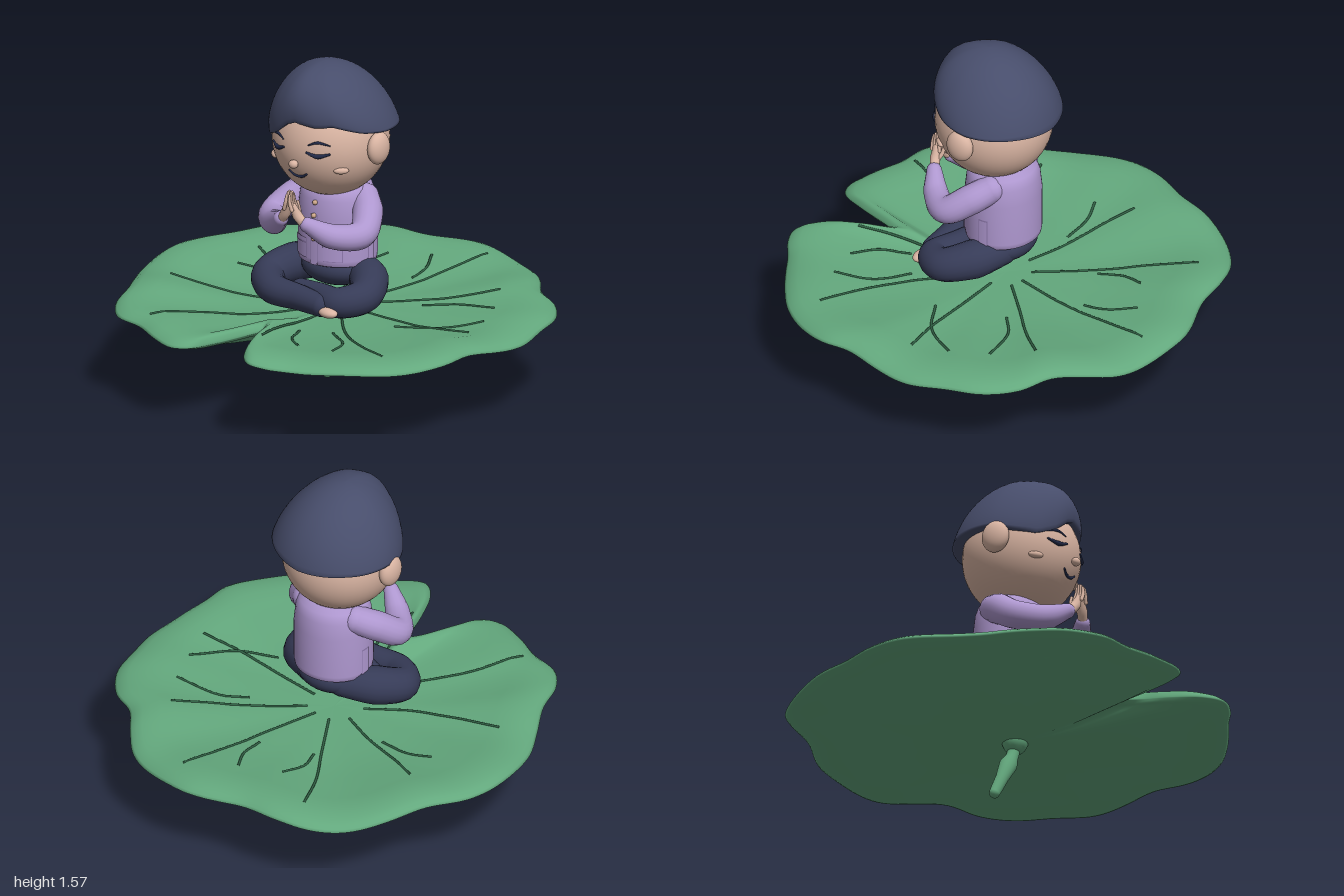
import * as THREE from 'three';

const mat = (name, color, side = THREE.FrontSide) => {
  const m = new THREE.MeshStandardMaterial({ color, side });
  m.name = name;
  return m;
};
const V = (x, y, z) => new THREE.Vector3(x, y, z);

// Closed rings of points joined into one smooth skin
function loft(rows) {
  const n = rows[0].length, pos = [], idx = [];
  rows.forEach(r => r.forEach(p => pos.push(p.x, p.y, p.z)));
  for (let j = 0; j < rows.length - 1; j++)
    for (let i = 0; i < n; i++) {
      const k = (i + 1) % n, a = j * n, b = a + n;
      idx.push(a + i, b + i, b + k, a + i, b + k, a + k);
    }
  const g = new THREE.BufferGeometry();
  g.setAttribute('position', new THREE.Float32BufferAttribute(pos, 3));
  g.setIndex(idx);
  g.computeVertexNormals();
  return g;
}

// Piecewise-linear lookup in [[x, y], ...]
function lookup(table, x) {
  for (let i = 1; i < table.length; i++)
    if (x <= table[i][0]) {
      const [x0, y0] = table[i - 1], [x1, y1] = table[i];
      return y0 + (y1 - y0) * (x - x0) / (x1 - x0);
    }
  return table[table.length - 1][1];
}

export function createModel() {
  const model = new THREE.Group();
  const leafGreen = mat('leaf green', 0x63a87d), veinGreen = mat('vein green', 0x2f5f43);
  const skin = mat('skin', 0xdab5a3), lilac = mat('lilac cloth', 0xae97cf, THREE.DoubleSide);
  const seam = mat('seam purple', 0x8f7aae, THREE.DoubleSide), hairBlue = mat('hair', 0x474d6b, THREE.DoubleSide);
  const trouser = mat('trousers', 0x363b57), ink = mat('face lines', 0x222a48), tan = mat('buttons', 0xd0aa8c);

  const add = (parent, name, geo, material, p = [0, 0, 0], s = [1, 1, 1], rot = [0, 0, 0]) => {
    const m = new THREE.Mesh(geo, material);
    m.name = name;
    m.position.set(...p); m.scale.set(...s); m.rotation.set(...rot);
    parent.add(m);
    return m;
  };
  const ball = new THREE.SphereGeometry(1, 32, 20);

  // Tapered tube with round ends
  const limb = (parent, name, pts, radii, material, seg = 32, sides = 18) => {
    const curve = new THREE.CatmullRomCurve3(pts.map(p => V(...p)));
    const geo = new THREE.TubeGeometry(curve, seg, 1, sides), pos = geo.attributes.position, v = V(0, 0, 0);
    const table = radii.map((r, i) => [i / (radii.length - 1), r]);
    for (let i = 0; i < pos.count; i++) {
      const u = Math.floor(i / (sides + 1)) / seg, c = curve.getPointAt(u);
      v.fromBufferAttribute(pos, i).sub(c).multiplyScalar(lookup(table, u)).add(c);
      pos.setXYZ(i, v.x, v.y, v.z);
    }
    add(parent, name, geo, material);
    const cap = new THREE.SphereGeometry(1, sides, 10);
    [[0, radii[0]], [1, radii[radii.length - 1]]].forEach(([u, r]) =>
      add(parent, name + 'End', cap, material, curve.getPointAt(u).toArray(), [r, r, r]));
  };

  // Leaf: notched outline (x, z), wound from the notch towards +x
  const outline = [[.03, .59], [.06, .63], [.1, .75], [.17, .9], [.25, .97], [.33, .955], [.42, .9], [.52, .85],
    [.66, .77], [.78, .68], [.88, .55], [.945, .4], [.95, .25], [.98, .1], [1, -.08], [.965, -.25], [.92, -.42],
    [.81, -.56], [.67, -.64], [.57, -.76], [.46, -.87], [.3, -.94], [.1, -.98], [0, -.97], [-.2, -.91], [-.38, -.9],
    [-.53, -.86], [-.68, -.75], [-.8, -.58], [-.87, -.4], [-.97, -.22], [-1, -.05], [-.95, .22], [-.87, .38],
    [-.79, .52], [-.72, .7], [-.62, .81], [-.47, .85], [-.33, .92], [-.2, .96], [-.13, .93], [-.08, .83], [0, .63]];
  const rim = new THREE.CatmullRomCurve3(outline.map(([x, z]) => V(x, 0, z)), true).getPoints(260).slice(0, -1);
  const a0 = Math.atan2(.03, .59), TAU = Math.PI * 2;
  const angle = (x, z) => (Math.atan2(x, z) - a0 + 1e-6 + 2 * TAU) % TAU;
  const radii = rim.map(p => [angle(p.x, p.z), Math.hypot(p.x, p.z)]).sort((p, q) => p[0] - q[0]);
  const top = [[0, .375], [.3, .38], [.5, .39], [.7, .415], [.85, .437], [.94, .43], [.98, .415], [1, .395]];
  const under = [[0, .3], [.3, .305], [.5, .322], [.7, .35], [.85, .375], [.95, .38], [1, .395]];
  const wave = (x, z, t) => {
    const a = Math.atan2(x, z);
    return t * t * (.012 * Math.sin(6 * a + .6) + .007 * Math.sin(11 * a) - .014 * Math.sin(a));
  };
  const ring = (t, table) => rim.map(p =>
    V(p.x * t, lookup(table, t) + wave(p.x, p.z, t), p.z * t));
  const steps = [0, .1, .2, .3, .4, .5, .6, .7, .78, .85, .9, .94, .97, .99];
  add(model, 'leaf', loft([...steps.map(t => ring(t, top)), ring(1, top),
    ...steps.slice().reverse().map(t => ring(t, under))]), leafGreen);

  // Leaf veins laid on the upper face
  const onLeaf = ([x, z]) => {
    const t = Math.hypot(x, z) / lookup(radii, angle(x, z));
    return V(x, lookup(top, t) + wave(x, z, t) + .001, z);
  };
  const veins = [[[-.05, -.1], [-.2, -.34], [-.33, -.54], [-.43, -.75]], [[.03, -.1], [.1, -.35], [.15, -.6], [.2, -.84]],
    [[.09, -.08], [.25, -.22], [.42, -.36], [.55, -.49]], [[.12, .01], [.35, .03], [.55, .045], [.78, .03]],
    [[.1, .1], [.3, .32], [.5, .46], [.7, .56]], [[.03, .15], [.05, .38], [.08, .56], [.12, .71]],
    [[-.05, .11], [-.18, .36], [-.35, .56], [-.47, .77]], [[-.12, .06], [-.3, .17], [-.5, .23], [-.74, .27]],
    [[-.12, -.04], [-.3, -.12], [-.5, -.19], [-.66, -.27]], [[-.18, -.37], [-.21, -.48], [-.18, -.6]],
    [[.07, -.45], [.06, -.57], [0, -.69]], [[.33, -.2], [.45, -.28], [.66, -.31]], [[.42, .12], [.6, .03], [.73, -.14]],
    [[.12, .43], [.18, .56], [.29, .65]], [[.25, .35], [.4, .47], [.46, .63]], [[-.63, -.08], [-.52, -.11], [-.36, -.1]]];
  veins.forEach(pts => {
    const flat = new THREE.CatmullRomCurve3(pts.map(([x, z]) => V(x, 0, z))).getPoints(14);
    const path = new THREE.CatmullRomCurve3(flat.map(p => onLeaf([p.x, p.z])));
    add(model, 'vein', new THREE.TubeGeometry(path, 20, .006, 6), veinGreen);
  });

  // Stem with a knuckle below the leaf
  limb(model, 'stem', [[.025, .31, .02], [.015, .25, .015], [-.03, .15, 0], [-.08, .025, -.03]],
    [.06, .028, .03, .042, .036, .03, .028, .025], leafGreen, 40);

  const figure = new THREE.Group();
  figure.name = 'figure';
  figure.position.x = .012;
  model.add(figure);

  // Head, ears and hair
  const head = { y: 1.2, z: .06, rx: .265, ry: .27, rz: .27 };
  add(figure, 'head', new THREE.SphereGeometry(1, 48, 32), skin, [0, head.y, head.z], [head.rx, head.ry, head.rz]);
  const faceZ = (x, y) => head.z + head.rz * Math.sqrt(1 - (x / head.rx) ** 2 - ((y - head.y) / head.ry) ** 2);
  const hairline = [[-Math.PI, 1.25], [-2.4, 1.26], [-1.57, 1.255], [-1.1, 1.225], [-.75, 1.215], [-.42, 1.255],
    [-.18, 1.31], [0, 1.33], [.35, 1.318], [.62, 1.328], [1.1, 1.29], [1.57, 1.275], [2.4, 1.27], [Math.PI, 1.25]];
  const hairRing = (phi, shrink = 1) => Array.from({ length: 72 }, (_, i) => {
    const a = -Math.PI + i / 72 * TAU, y0 = lookup(hairline, a), up = Math.sin(phi), r = Math.cos(phi) * shrink;
    const p = 1 + .4 * Math.sin(a) ** 2;
    return V(.3 * r * Math.sin(a) - .01 * up, y0 + (1.565 - y0) * up ** p, .035 + .055 * up + .287 * r * Math.cos(a));
  });
  const hairRows = Array.from({ length: 19 }, (_, i) => hairRing((1 - i / 18) * Math.PI / 2));
  add(figure, 'hair', loft([...hairRows, hairRing(0, .97), hairRing(0, .8)]), hairBlue);

  // Face details, mirrored
  const faceLine = (name, pts, r) => limb(figure, name, pts.map(([x, y]) => [x, y, faceZ(x, y)]), r, ink, 16, 8);
  for (const s of [-1, 1]) {
    add(figure, 'ear', ball, skin, [s * .28, 1.2, .07], [.04, .076, .066]);
    faceLine('eyebrow', [[s * .07, 1.235], [s * .11, 1.25], [s * .16, 1.238]], [.003, .007, .003]);
    faceLine('closedEye', [[s * .065, 1.2], [s * .11, 1.186], [s * .16, 1.198]], [.005, .012, .005]);
    add(figure, 'cheek', ball, skin, [s * .19, 1.115, faceZ(.19, 1.115)], [.035, .016, .016], [0, s * .75, 0]);
  }
  faceLine('mouth', [[-.048, 1.088], [-.025, 1.073], [0, 1.068], [.025, 1.073], [.048, 1.088]], [.005, .007, .007, .007, .005]);
  add(figure, 'nose', ball, skin, [0, 1.135, .335], [.023, .02, .02]);

  // Shirt body, placket, pockets and side panels
  const shirt = [[0, .61], [.93, .61], [.98, .615], [1, .64], [1, .84], [.95, .92], [.86, .965], [.6, 1], [0, 1.01]]
    .map(([r, y]) => new THREE.Vector2(r, y));
  const sx = .185, sz = .172;
  add(figure, 'shirt', new THREE.LatheGeometry(shirt, 48), lilac, [0, 0, .01], [sx, 1, sz]);
  const patch = (name, mid, half, y, h, off, m) => add(figure, name,
    new THREE.CylinderGeometry(1, 1, h, 10, 1, true, mid - half, half * 2), m, [0, y, .01], [sx + off, 1, sz + off]);
  patch('placket', 0, .1, .735, .24, .004, lilac);
  for (const s of [-1, 1]) {
    patch('placketSeam', s * .11, .012, .735, .24, .003, seam);
    patch('pocketSeam', s * .5, .25, .685, .095, .003, seam);
    patch('pocket', s * .5, .235, .685, .087, .005, lilac);
    patch('pocketFlap', s * .5, .26, .725, .02, .008, lilac);
    patch('flapSeam', s * .5, .26, .712, .008, .008, seam);
    patch('sidePanelSeam', s * 1.6, .13, .69, .15, .003, seam);
    patch('sidePanel', s * 1.6, .115, .685, .148, .005, lilac);
  }
  [.74, .8, .85, .91].forEach(y => add(figure, 'button', ball, tan, [0, y, y > .88 ? .178 : .187], [.012, .012, .012]));

  // Arms and joined hands
  for (const s of [-1, 1]) {
    limb(figure, 'sleeve', [[s * .14, .915, -.01], [s * .21, .87, .06], [s * .25, .805, .16], [s * .17, .805, .26],
      [s * .075, .86, .33]], [.065, .07, .066, .062, .055, .035], lilac);
    limb(figure, 'palm', [[s * .06, .868, .338], [s * .035, .9, .348], [s * .014, .945, .355]], [.022, .024, .014], skin, 14, 12);
    for (let i = 0; i < 4; i++)
      limb(figure, 'finger', [[s * .022, .93, .335 + i * .013], [s * .011, .965, .341 + i * .012],
        [s * .008, 1.015 - Math.abs(i - 1.4) * .012, .343 + i * .01]], [.009, .0085, .006], skin, 8, 8);
    limb(figure, 'thumb', [[s * .035, .895, .335], [s * .02, .925, .32], [s * .012, .955, .318]], [.011, .01, .007], skin, 8, 8);
  }

  // Hips, crossed legs and feet
  add(figure, 'hips', ball, trouser, [0, .575, .01], [.175, .09, .15]);
  limb(figure, 'rightLeg', [[-.09, .565, -.03], [-.21, .55, .05], [-.265, .515, .17], [-.17, .492, .27], [0, .485, .285],
    [.13, .48, .3]], [.075, .09, .078, .07, .06, .052], trouser, 44);
  limb(figure, 'leftLeg', [[.09, .565, -.03], [.21, .55, .05], [.268, .515, .17], [.2, .495, .255], [.06, .49, .22],
    [-.07, .485, .19]], [.075, .09, .078, .07, .06, .05], trouser, 44);
  add(figure, 'rightFoot', ball, skin, [.19, .465, .325], [.052, .024, .034], [0, -.15, 0]);
  add(figure, 'leftFoot', ball, skin, [-.13, .475, .18], [.05, .026, .035]);

  return model;
}
